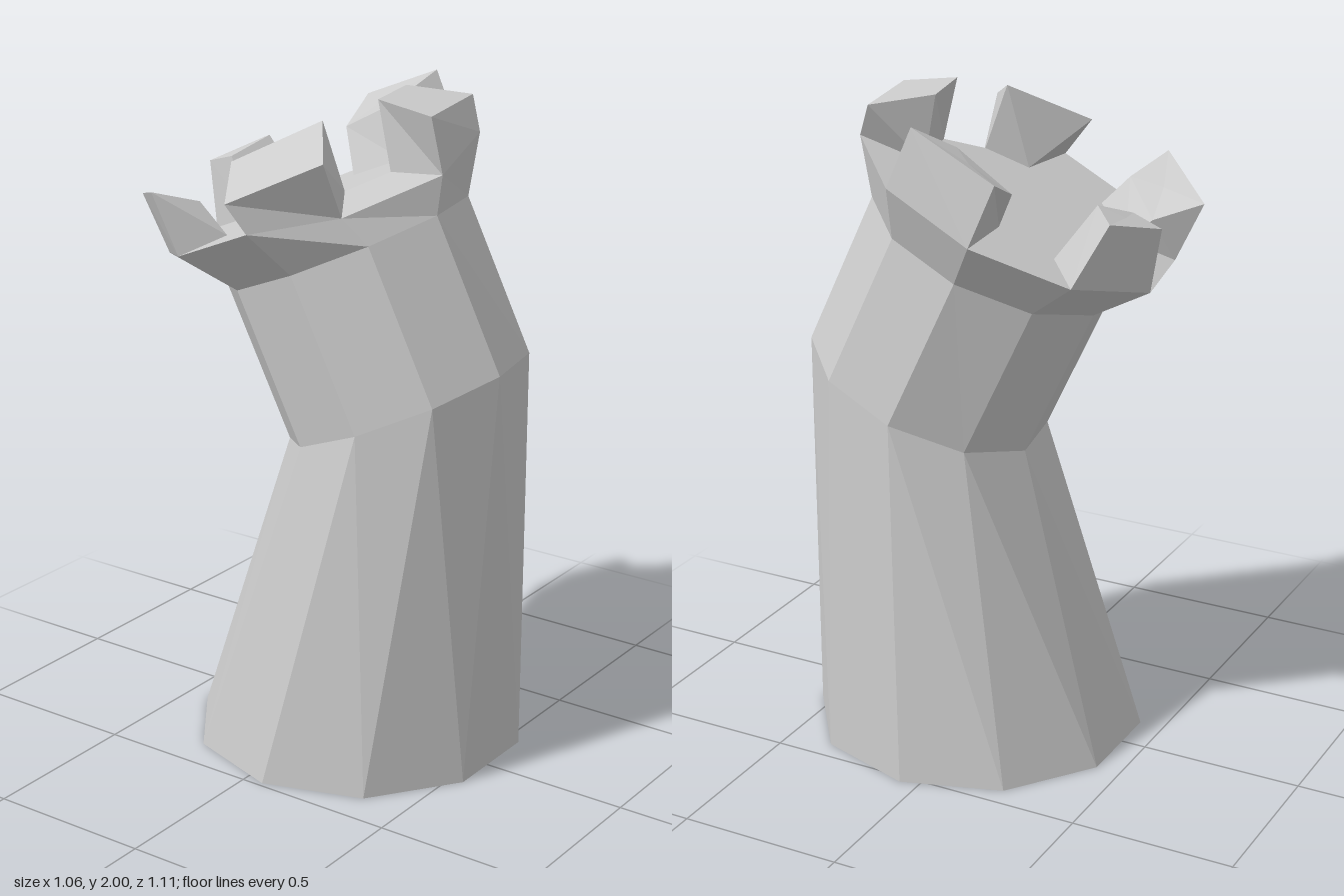
import * as THREE from 'three';

const SIDES = 10;
const V = (a) => new THREE.Vector3(...a);

// Tilted ten-sided ring: centre + u cos + v sin
function ring(c, u, v) {
  return Array.from({ length: SIDES }, (_, i) => {
    const t = (i / SIDES) * Math.PI * 2;
    return V(c).addScaledVector(V(u), Math.cos(t)).addScaledVector(V(v), Math.sin(t));
  });
}

// Flat-faced solid joining a stack of rings, closed at both ends
function loft(name, rings, material) {
  const pos = [];
  const tri = (a, b, c) => {
    const area = b.clone().sub(a).cross(c.clone().sub(a)).length();
    if (area > 1e-8) for (const p of [a, b, c]) pos.push(p.x, p.y, p.z);
  };
  const middle = (r) => r.reduce((s, p) => s.add(p), new THREE.Vector3()).divideScalar(r.length);
  const n = rings[0].length, first = rings[0], last = rings[rings.length - 1];
  const low = middle(first), high = middle(last);
  for (let i = 0; i < n; i++) {
    const j = (i + 1) % n;
    for (let k = 0; k < rings.length - 1; k++) {
      const a = rings[k], b = rings[k + 1];
      tri(a[i], b[i], b[j]);
      tri(a[i], b[j], a[j]);
    }
    tri(low, first[i], first[j]);
    tri(high, last[j], last[i]);
  }
  const geo = new THREE.BufferGeometry();
  geo.setAttribute('position', new THREE.Float32BufferAttribute(pos, 3));
  geo.computeVertexNormals();
  const mesh = new THREE.Mesh(geo, material);
  mesh.name = name;
  return mesh;
}

export function createModel() {
  const group = new THREE.Group();
  group.name = 'bentTower';
  const stone = new THREE.MeshStandardMaterial({ color: 0xcccccc, flatShading: true });

  // Height of the sloping deck at a given x, z
  const deckY = (x, z) => 1.683 + 0.439 * (z + 0.06) + 0.085 * (x + 0.005);
  const onDeck = ([x, z]) => new THREE.Vector3(x, deckY(x, z), z);

  // Tower rings, from the ground to the flared rim
  const base = ring([0.022, 0, 0.06], [0.508, 0, 0], [0, 0, 0.508]);
  const waist = ring([0.055, 1.095, 0.2075], [0.38, 0, -0.0725], [0.066, 0.15, 0.342]);
  const neck = ring([0.02, 1.543, 0.01], [0.38, 0, -0.075], [0.061, 0.153, 0.345]);
  const rim = ring([-0.005, 1.683, -0.06], [0.49, 0, -0.095], [0.078, 0.2025, 0.446]);
  const deck = rim.map((p) => p.clone());

  // Chipped notch at the front right of the rim
  rim[3].set(-0.015, 1.8, 0.362);
  rim[4].set(-0.29, 1.712, 0.21);
  deck[3].copy(onDeck([-0.08, 0.23]));
  deck[4].copy(onDeck([-0.19, 0.15]));
  group.add(loft('tower', [base, waist, neck, rim, deck], stone));

  // Battlements: rim side, inner foot corners, then the top (outer, outer, inner, inner)
  const blocks = [
    { name: 'leftBattlement', side: 0, foot: [[0.22, 0.065], [0.245, -0.125]],
      top: [[0.48, 1.87, -0.235], [0.435, 1.985, 0.045], [0.285, 1.9, -0.015], [0.32, 1.8, -0.205]] },
    { name: 'frontBattlement', side: 2, foot: [[-0.08, 0.23], [0.14, 0.17]],
      top: [[0.25, 1.975, 0.29], [-0.055, 1.972, 0.348], [-0.06, 2, 0.172], [0.145, 2, 0.13]] },
    { name: 'rightBattlement', side: 4, foot: [[-0.24, 0.03], [-0.19, 0.15]],
      top: [[-0.37, 1.88, 0.205], [-0.532, 1.77, -0.01], [-0.36, 1.84, -0.118], [-0.205, 1.955, 0.085]] },
    { name: 'backRightBattlement', side: 6, foot: [[-0.165, -0.325], [-0.305, -0.18]],
      top: [[-0.47, 1.745, -0.32], [-0.255, 1.665, -0.532], [-0.175, 1.62, -0.405], [-0.32, 1.695, -0.265]] },
    { name: 'backLeftBattlement', side: 8, foot: [[0.23, -0.29], [0.045, -0.365]],
      top: [[0.095, 1.69, -0.555], [0.275, 1.74, -0.48], [0.205, 1.768, -0.41], [0.08, 1.72, -0.46]] },
  ];
  for (const { name, side, foot, top } of blocks) {
    const bottom = [rim[side], rim[side + 1], ...foot.map(onDeck)];
    group.add(loft(name, [bottom, top.map(V)], stone));
  }
  return group;
}
